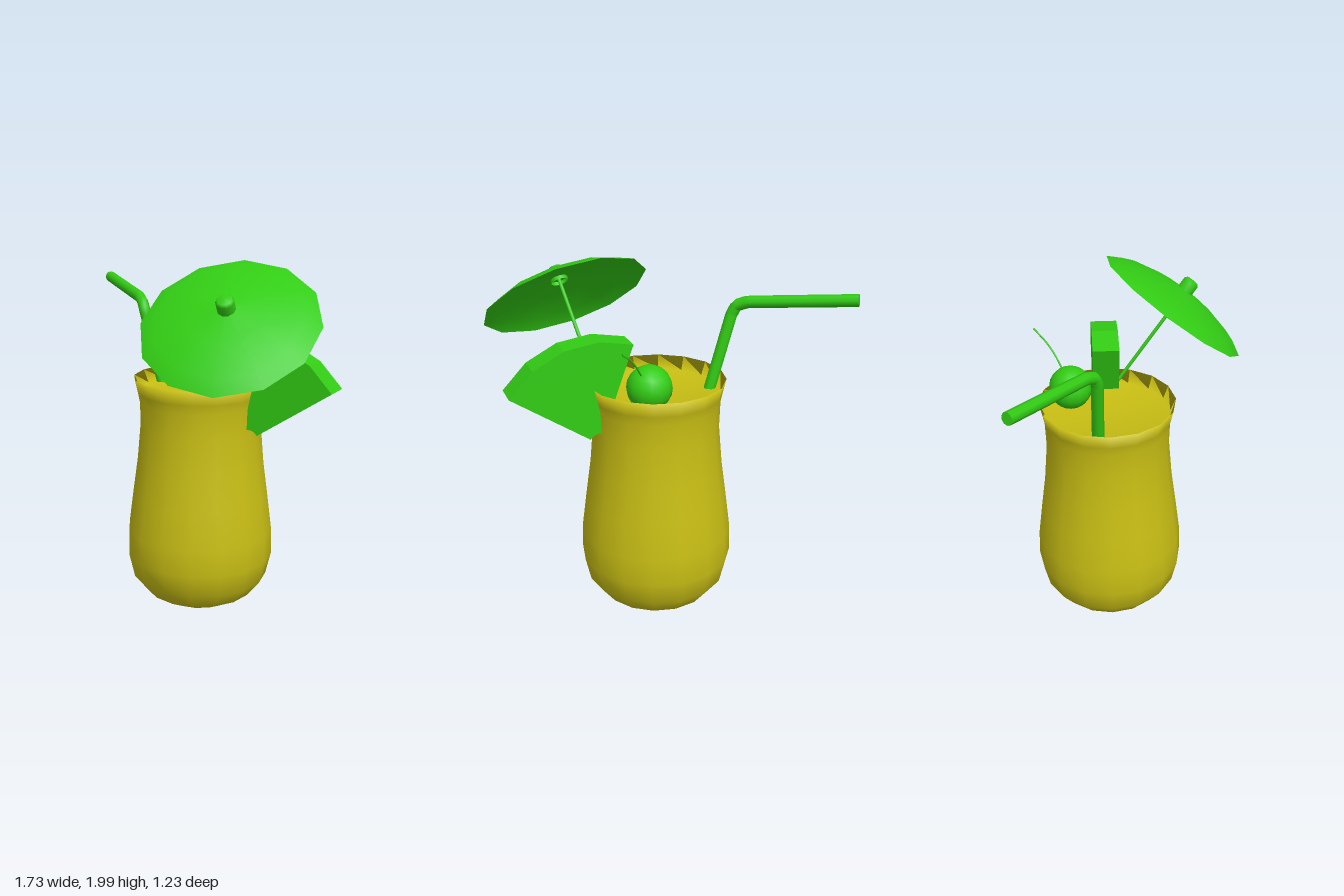
import * as THREE from 'three';

const yellow = new THREE.MeshStandardMaterial({ color: 0xc8be14, side: THREE.DoubleSide });
const green = new THREE.MeshStandardMaterial({ color: 0x32cc14, side: THREE.DoubleSide });

const v3 = (p) => new THREE.Vector3(...p);

function add(parent, name, geometry, material) {
  const mesh = new THREE.Mesh(geometry, material);
  mesh.name = name;
  parent.add(mesh);
  return mesh;
}

function lathe(points, sides, phase = 0) {
  return new THREE.LatheGeometry(points.map(([r, y]) => new THREE.Vector2(r, y)), sides, phase);
}

// Straight-sectioned path through the given points
function polyline(points) {
  const path = new THREE.CurvePath();
  for (let i = 1; i < points.length; i++) {
    path.add(new THREE.LineCurve3(v3(points[i - 1]), v3(points[i])));
  }
  return path;
}

export function createModel() {
  const model = new THREE.Group();
  model.name = 'cocktail';

  // Glass: rounded foot, narrow neck, flared lip, then down to the drink surface
  const glass = add(model, 'glass', lathe([
    [0, 0.005], [0.2, 0.045], [0.31, 0.105], [0.385, 0.2], [0.415, 0.33], [0.41, 0.48],
    [0.385, 0.67], [0.357, 0.87], [0.338, 1.08], [0.342, 1.22], [0.352, 1.27], [0.37, 1.35],
    [0.34, 1.28], [0, 1.28],
  ], 16), yellow);
  glass.position.set(0.045, 0, -0.13);

  // Bent straw with a closed end
  const strawPath = polyline([
    [-0.235, 1.27, -0.19], [-0.35, 1.67, -0.19], [-0.372, 1.72, -0.203],
    [-0.415, 1.743, -0.24], [-0.855, 1.8, -0.59],
  ]);
  const straw = new THREE.Group();
  straw.name = 'straw';
  model.add(straw);
  add(straw, 'strawTube', new THREE.TubeGeometry(strawPath, 48, 0.032, 8), green);
  const strawEnd = add(straw, 'strawEnd', new THREE.CircleGeometry(0.032, 8), green);
  strawEnd.position.copy(strawPath.getPoint(1));
  strawEnd.quaternion.setFromUnitVectors(new THREE.Vector3(0, 0, 1), strawPath.getTangent(1));

  // Cherry and its curved stem
  const cherry = add(model, 'cherry', new THREE.SphereGeometry(0.118, 14, 10), green);
  cherry.position.set(0.152, 1.38, -0.325);
  const stemPath = new THREE.CatmullRomCurve3([
    [0.2, 1.45, -0.36], [0.25, 1.53, -0.405], [0.295, 1.585, -0.45], [0.355, 1.637, -0.515],
  ].map(v3));
  add(model, 'cherryStem', new THREE.TubeGeometry(stemPath, 10, 0.005, 5), green);

  // Fruit wedge on the rim: a ring sector with a faceted outer arc
  const arc = [34, 53, 72, 91, 110];
  const polar = (r, deg) => {
    const a = THREE.MathUtils.degToRad(deg);
    return new THREE.Vector2(0.38 + r * Math.cos(a), 1.05 + r * Math.sin(a));
  };
  const wedgeShape = new THREE.Shape([
    ...arc.map((d) => polar(0.555, d)),
    ...arc.slice().reverse().map((d) => polar(0.06, d)),
  ]);
  const wedge = add(model, 'fruitWedge',
    new THREE.ExtrudeGeometry(wedgeShape, { depth: 0.145, bevelEnabled: false }), green);
  wedge.position.z = -0.2;

  // Tilted paper umbrella: hollow canopy, knob and stick along one axis
  const umbrella = new THREE.Group();
  umbrella.name = 'umbrella';
  umbrella.position.set(0.415, 1.72, 0.253);
  umbrella.quaternion.setFromUnitVectors(
    new THREE.Vector3(0, 1, 0), new THREE.Vector3(0.137, 0.79, 0.597).normalize());
  model.add(umbrella);
  add(umbrella, 'canopy',
    lathe([[0.455, 0], [0.375, 0.045], [0.2, 0.09], [0, 0.115]], 12, Math.PI / 12), green);
  add(umbrella, 'knob',
    lathe([[0.047, 0.09], [0.047, 0.16], [0.036, 0.174], [0, 0.178]], 10), green);
  const stick = add(umbrella, 'stick', new THREE.CylinderGeometry(0.01, 0.01, 0.66, 6), green);
  stick.position.y = -0.22;

  return model;
}
